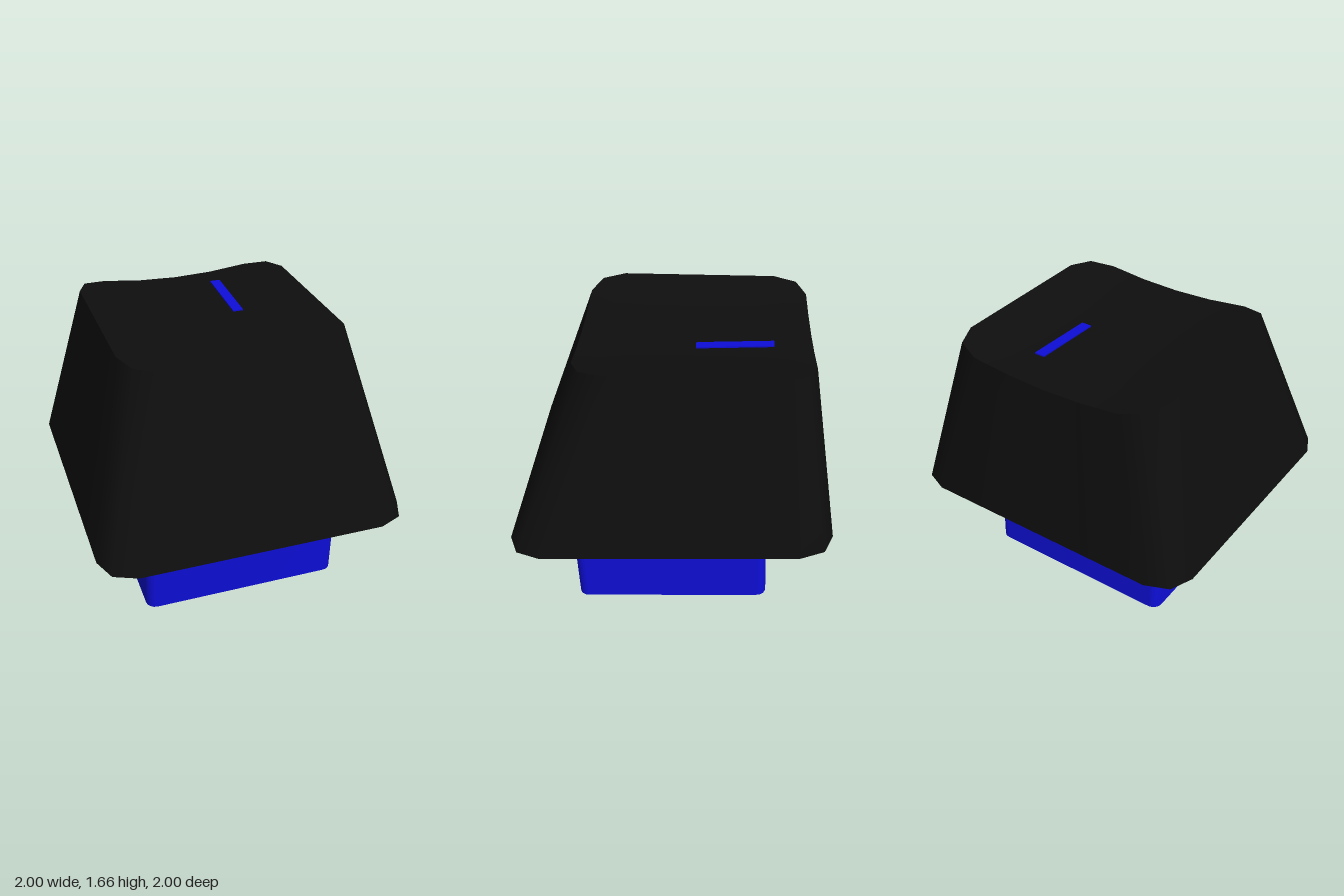
import * as THREE from 'three';

// Rounded rectangle as [x, z] points: corner arcs joined by subdivided edges
function outline(hx, hz, r, arcSteps, edgeSteps) {
  const pts = [];
  const corners = [[1, 1], [-1, 1], [-1, -1], [1, -1]];
  corners.forEach(([sx, sz], c) => {
    for (let i = 0; i <= arcSteps; i++) {
      const a = (c + i / arcSteps) * Math.PI / 2;
      pts.push([sx * (hx - r) + r * Math.cos(a), sz * (hz - r) + r * Math.sin(a)]);
    }
    const [px, pz] = pts[pts.length - 1];
    const [nx, nz] = corners[(c + 1) % 4];
    const a = (c + 1) * Math.PI / 2;
    const qx = nx * (hx - r) + r * Math.cos(a), qz = nz * (hz - r) + r * Math.sin(a);
    for (let i = 1; i < edgeSteps; i++) {
      const t = i / edgeSteps;
      pts.push([px + (qx - px) * t, pz + (qz - pz) * t]);
    }
  });
  return pts;
}

// Place an outline in space, scaled and shifted in z, with height from a rule
function ring(pts, height, scale = 1, dz = 0) {
  return pts.map(([x, z]) => [x * scale, height(x * scale, z * scale + dz), z * scale + dz]);
}

// Skin between successive rings
function loft(rings) {
  const n = rings[0].length, index = [];
  for (let k = 0; k < rings.length - 1; k++) {
    for (let i = 0; i < n; i++) {
      const a0 = k * n + i, a1 = k * n + (i + 1) % n;
      index.push(a0, a0 + n, a1, a1, a0 + n, a1 + n);
    }
  }
  const geo = new THREE.BufferGeometry();
  geo.setAttribute('position', new THREE.Float32BufferAttribute(rings.flat(2), 3));
  geo.setIndex(index);
  geo.computeVertexNormals();
  return geo;
}

export function createModel() {
  const black = new THREE.MeshStandardMaterial({ color: 0x0e0e0e });
  black.name = 'black';
  const blue = new THREE.MeshStandardMaterial({ color: 0x0e0ed8, side: THREE.DoubleSide });
  blue.name = 'blue';

  const group = new THREE.Group();
  group.name = 'keySwitch';
  const add = (name, geo, mat) => {
    const mesh = new THREE.Mesh(geo, mat);
    mesh.name = name;
    group.add(mesh);
    return mesh;
  };

  // Heights: slanted cap base, slanted stem ends, dished top
  const baseY = (x, z) => 0.617 - 0.0425 * z;
  const dishY = (x) => 1.595 + 0.147 * x * x;
  const stemTopY = (x, z) => baseY(x, z) - 0.004;
  const stemFootY = (x, z) => 0.031 - 0.0445 * z;
  const topShift = -0.12;

  // Cap: tapered walls, dished top and flat underside
  const base = outline(0.955, 0.957, 0.2, 2, 4);
  const top = outline(0.69, 0.69, 0.2, 2, 4);
  add('capWalls', loft([ring(base, baseY), ring(top, dishY, 1, topShift)]), black);
  add('capTop', loft([1, 0.75, 0.5, 0.25, 0].map(s => ring(top, dishY, s, topShift))), black);
  add('capUnderside', loft([ring(base, baseY, 0), ring(base, baseY)]), black);

  // Stem: thin hollow sleeve, open below, closed against the cap
  const stem = outline(0.625, 0.595, 0.06, 4, 2);
  add('stemWalls', loft([ring(stem, stemFootY, 1, -0.003), ring(stem, stemTopY, 1, 0.024)]), blue);
  add('stemCeiling', loft([ring(stem, stemTopY, 0, 0.024), ring(stem, stemTopY, 1, 0.024)]), blue);

  // Indicator bar lying on the dished top
  const bar = add('indicatorBar', new THREE.BoxGeometry(0.065, 0.008, 0.455), blue);
  bar.position.set(0.205, 1.62, -0.353);
  bar.rotation.x = 0.045;

  // Slight turn of the whole key
  group.rotation.y = -0.06;
  const model = new THREE.Group();
  model.name = 'keycap';
  model.add(group);
  return model;
}
